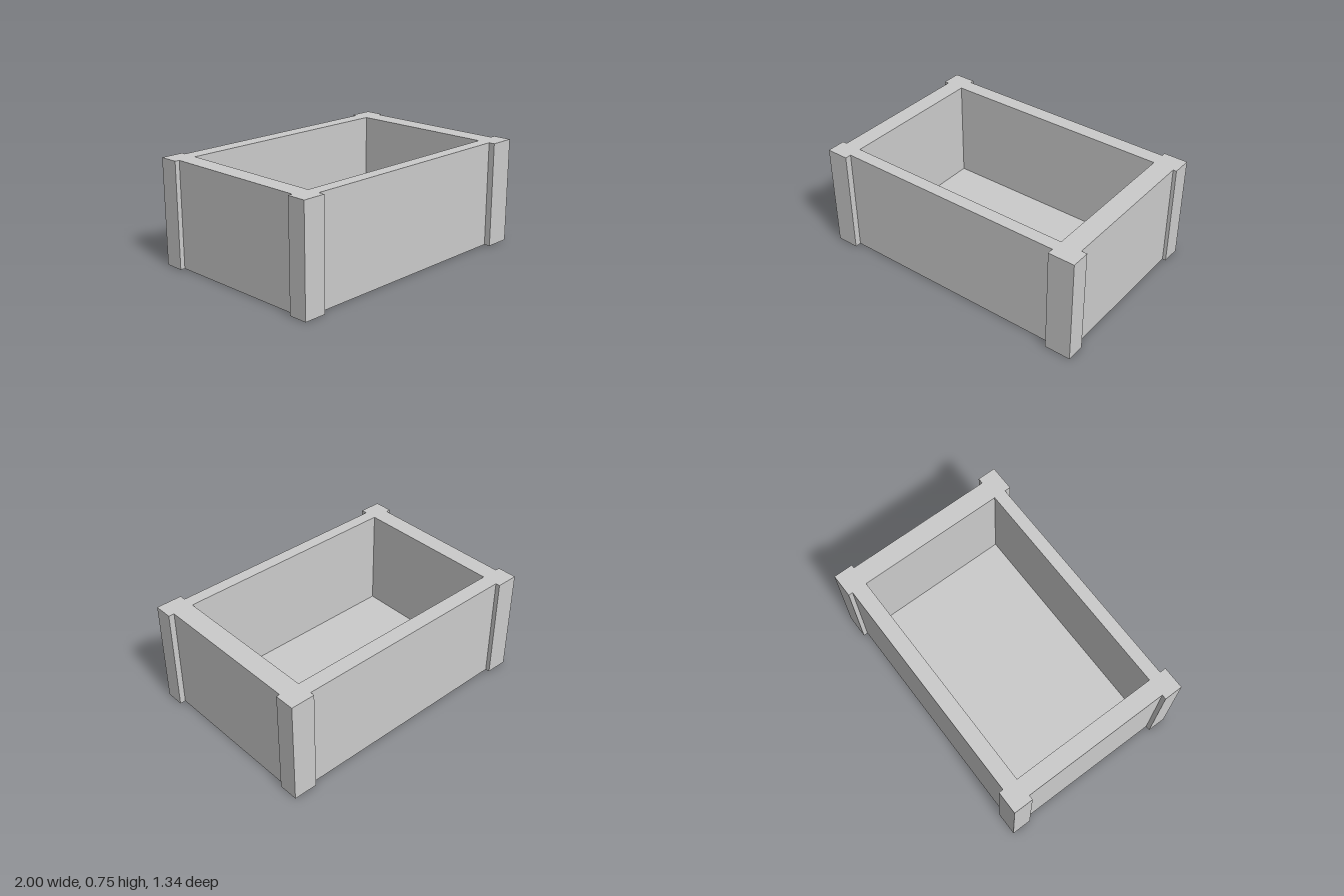
import * as THREE from 'three';

const HEIGHT = 0.75;
const FLOOR = 0.03;
// Inner opening of the box
const IN = { left: -0.84, right: 0.815, back: -0.533, front: 0.537 };
// Outer faces of the four walls
const WALL = { left: -0.967, right: 0.96, back: -0.642, front: 0.626 };
// Outer faces of the corner posts
const POST = { left: -1, right: 1, backRight: 0.985, back: -0.673, front: 0.67 };

// Plan points [x, z] become shape points; the extrusion is later laid flat
const toPoints = (plan) => plan.map(([x, z]) => new THREE.Vector2(x, -z));

export function createModel() {
  const group = new THREE.Group();
  group.name = 'openBox';
  const material = new THREE.MeshStandardMaterial({ color: 0xcccccc, flatShading: true });

  // Walls with projecting corner posts, one continuous plan outline
  const outline = new THREE.Shape(toPoints([
    // front left-hand post, then front wall
    [POST.left, IN.front], [POST.left, POST.front], [IN.left, POST.front], [IN.left, WALL.front],
    // front right-hand post, then right-hand wall
    [IN.right, WALL.front], [IN.right, POST.front], [POST.right, POST.front], [POST.right, IN.front],
    [WALL.right, IN.front], [WALL.right, IN.back],
    // back right-hand post, then back wall
    [POST.backRight, IN.back], [POST.backRight, POST.back], [IN.right, POST.back], [IN.right, WALL.back],
    // back left-hand post, then left-hand wall
    [IN.left, WALL.back], [IN.left, POST.back], [POST.left, POST.back], [POST.left, IN.back],
    [WALL.left, IN.back], [WALL.left, IN.front],
  ]));
  outline.holes.push(new THREE.Path(toPoints([
    [IN.left, IN.front], [IN.left, IN.back], [IN.right, IN.back], [IN.right, IN.front],
  ])));
  const frame = new THREE.ExtrudeGeometry(outline, { depth: HEIGHT, bevelEnabled: false });
  frame.rotateX(-Math.PI / 2);
  const walls = new THREE.Mesh(frame, material);
  walls.name = 'wallsAndCornerPosts';
  group.add(walls);

  // Thin floor closing the bottom of the opening
  const floor = new THREE.Mesh(
    new THREE.BoxGeometry(IN.right - IN.left, FLOOR, IN.front - IN.back), material);
  floor.position.set((IN.left + IN.right) / 2, FLOOR / 2, (IN.front + IN.back) / 2);
  floor.name = 'floor';
  group.add(floor);

  return group;
}
